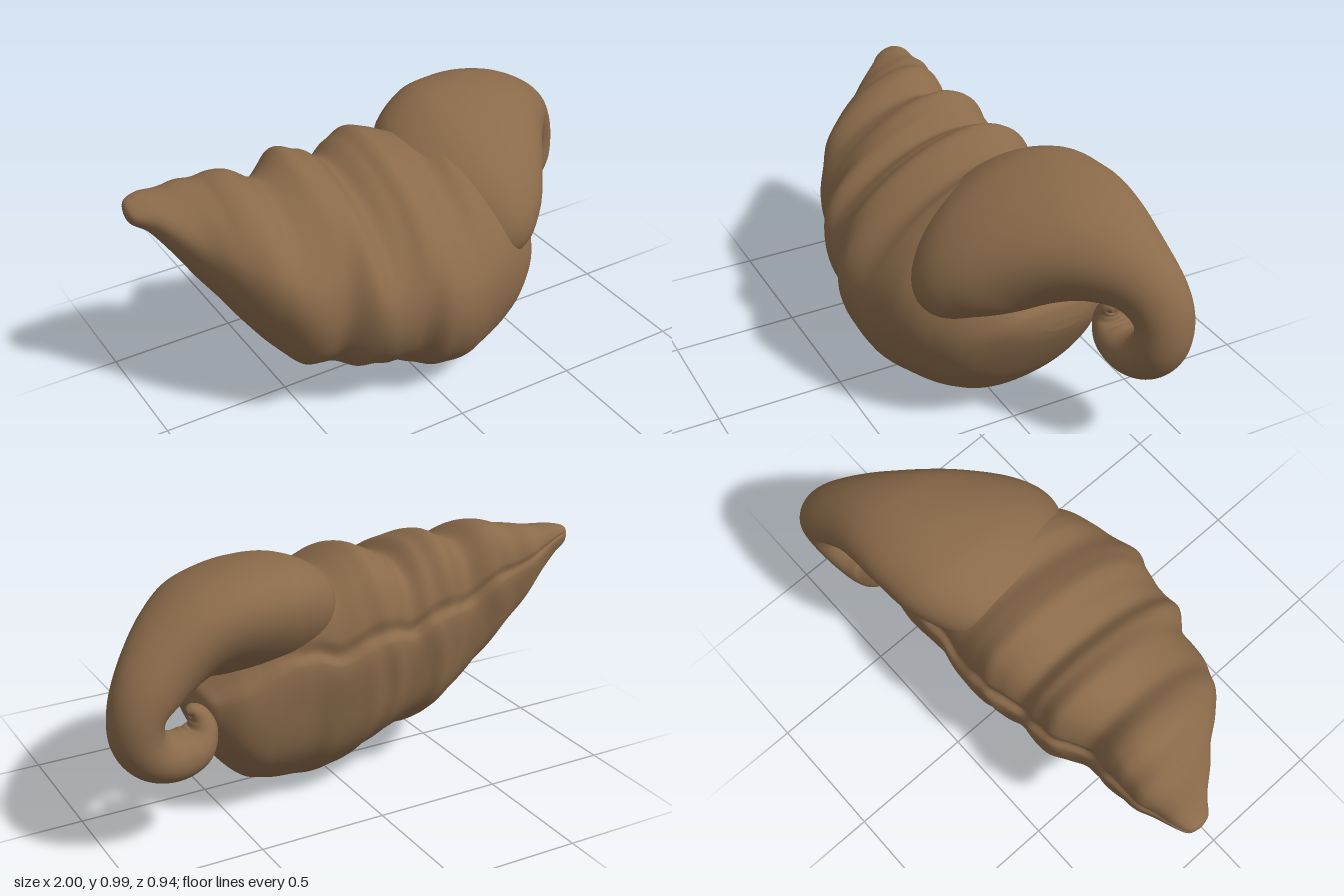
import * as THREE from 'three';

const { lerp, smoothstep, clamp } = THREE.MathUtils;

const shellBrown = new THREE.MeshStandardMaterial({ color: 0x8a6a4a });
shellBrown.name = 'shellBrown';

// Smooth interpolation through rows of numbers, t in 0..1
function sample(rows, t) {
  const f = t * (rows.length - 1);
  const i = Math.min(Math.floor(f), rows.length - 2);
  const s = f - i;
  const row = k => rows[clamp(k, 0, rows.length - 1)];
  return rows[i].map((p1, c) => {
    const p0 = row(i - 1)[c], p2 = row(i + 1)[c], p3 = row(i + 2)[c];
    return 0.5 * (2 * p1 + (p2 - p0) * s + (2 * p0 - 5 * p1 + 4 * p2 - p3) * s * s
      + (3 * p1 - p0 - 3 * p2 + p3) * s * s * s);
  });
}

// Skin a list of closed rings; both ends are closed to their centres
function loft(name, rings) {
  const n = rings[0].length;
  const positions = [], index = [];
  rings.forEach(ring => ring.forEach(p => positions.push(p.x, p.y, p.z)));
  for (let i = 0; i < rings.length - 1; i++) {
    for (let j = 0; j < n; j++) {
      const a = i * n + j, b = i * n + (j + 1) % n;
      index.push(a, b, a + n, b, b + n, a + n);
    }
  }
  const last = (rings.length - 1) * n;
  [rings[0], rings[rings.length - 1]].forEach((ring, end) => {
    const c = ring.reduce((sum, p) => sum.add(p), new THREE.Vector3()).divideScalar(n);
    const centre = positions.length / 3;
    positions.push(c.x, c.y, c.z);
    for (let j = 0; j < n; j++) {
      const k = (j + 1) % n;
      if (end === 0) index.push(centre, k, j);
      else index.push(centre, last + j, last + k);
    }
  });
  const geometry = new THREE.BufferGeometry();
  geometry.setAttribute('position', new THREE.Float32BufferAttribute(positions, 3));
  geometry.setIndex(index);
  geometry.computeVertexNormals();
  const mesh = new THREE.Mesh(geometry, shellBrown);
  mesh.name = name;
  return mesh;
}

// Whorled body: x, top y, bottom y, back z, front z
const bodyRows = [
  [-1.0, 0.87, 0.85, -0.20, -0.18],
  [-0.985, 0.895, 0.815, -0.24, -0.14],
  [-0.93, 0.91, 0.775, -0.265, -0.09],
  [-0.86, 0.91, 0.68, -0.28, 0.0],
  [-0.79, 0.92, 0.57, -0.30, 0.08],
  [-0.72, 0.925, 0.47, -0.30, 0.18],
  [-0.63, 0.945, 0.34, -0.30, 0.27],
  [-0.51, 0.89, 0.20, -0.285, 0.34],
  [-0.39, 0.945, 0.15, -0.355, 0.355],
  [-0.30, 0.925, 0.125, -0.36, 0.42],
  [-0.22, 0.87, 0.11, -0.355, 0.43],
  [-0.13, 0.92, 0.085, -0.385, 0.435],
  [-0.03, 0.94, 0.035, -0.40, 0.475],
  [0.10, 0.885, 0.00, -0.39, 0.46],
  [0.19, 0.92, 0.005, -0.375, 0.43],
  [0.27, 0.91, 0.02, -0.38, 0.40],
  [0.34, 0.78, 0.05, -0.38, 0.36],
  [0.41, 0.655, 0.09, -0.375, 0.31],
  [0.49, 0.595, 0.18, -0.36, 0.24],
  [0.555, 0.55, 0.29, -0.32, 0.14],
  [0.595, 0.52, 0.38, -0.28, 0.05],
  [0.61, 0.47, 0.43, -0.2, -0.06]
];

const closedCurve = points =>
  new THREE.CatmullRomCurve3(points.map(([u, v]) => new THREE.Vector3(u, v, 0)), true).getPoints(90).slice(0, 90);

// Sections as fraction from back to front and fraction of height.
// The narrow notch at the back makes the seam below the whorls.
const whorlSection = closedCurve([
  [0.27, 1], [0.56, 0.94], [0.83, 0.77], [0.97, 0.58], [0.99, 0.40], [0.91, 0.2],
  [0.73, 0.05], [0.52, 0], [0.28, 0.06], [0.09, 0.24], [0.02, 0.46],
  [0.0, 0.66], [0.035, 0.7], [0.03, 0.77], [0.1, 0.92]
]);
// Flat-topped cup around the root of the horn
const mouthSection = closedCurve([
  [0.3, 1], [0.6, 0.99], [0.86, 0.9], [0.98, 0.7], [1, 0.48], [0.91, 0.22],
  [0.73, 0.05], [0.52, 0], [0.28, 0.06], [0.1, 0.25], [0.02, 0.5],
  [0, 0.84], [0.03, 0.93], [0.08, 0.98], [0.16, 1]
]);

function makeBody() {
  const rings = [];
  for (let i = 0; i <= 180; i++) {
    const [x, top, bottom, back, front] = sample(bodyRows, i / 180);
    const mouth = smoothstep(x, 0.24, 0.44);
    // Faint growth ribs, fading out at the tip and the mouth
    const fade = smoothstep(x, -0.95, -0.7) * (1 - smoothstep(x, -0.1, 0.2));
    rings.push(whorlSection.map((p, j) => {
      const u = lerp(p.x, mouthSection[j].x, mouth);
      const v = lerp(p.y, mouthSection[j].y, mouth);
      const phase = x + 0.06 * Math.sin(v * 5);
      const rib = 1 + fade * (0.007 * Math.sin(phase * 37) + 0.005 * Math.sin(phase * 61 + v * 3));
      return new THREE.Vector3(
        x, lerp(bottom, top, 0.5 + (v - 0.5) * rib), lerp(back, front, 0.5 + (u - 0.5) * rib));
    }));
  }
  return loft('whorledBody', rings);
}

// Curled horn: x, y, z, radius in the curl plane, radius across it
const hornRows = [
  [0.06, 0.62, -0.02, 0.16, 0.20],
  [0.19, 0.67, -0.03, 0.25, 0.29],
  [0.33, 0.71, -0.045, 0.28, 0.34],
  [0.47, 0.745, -0.085, 0.25, 0.325],
  [0.61, 0.755, -0.155, 0.207, 0.275],
  [0.735, 0.725, -0.25, 0.163, 0.2],
  [0.84, 0.66, -0.33, 0.127, 0.138],
  [0.897, 0.575, -0.36, 0.102, 0.112],
  [0.898, 0.475, -0.357, 0.096, 0.107],
  [0.845, 0.4, -0.347, 0.094, 0.104],
  [0.76, 0.367, -0.335, 0.089, 0.1],
  [0.68, 0.385, -0.325, 0.081, 0.092],
  [0.64, 0.435, -0.315, 0.057, 0.07],
  [0.645, 0.482, -0.305, 0.04, 0.048],
  [0.668, 0.506, -0.3, 0.027, 0.033],
  [0.69, 0.505, -0.3, 0.012, 0.014]
];

function makeHorn() {
  const rings = [];
  for (let i = 0; i <= 140; i++) {
    const t = i / 140;
    const [x, y, z, r, across] = sample(hornRows, t);
    const [x0, y0] = sample(hornRows, Math.max(0, t - 0.01));
    const [x1, y1] = sample(hornRows, Math.min(1, t + 0.01));
    const along = new THREE.Vector2(x1 - x0, y1 - y0).normalize();
    // The thick root leans backwards
    const lean = 0.6 * smoothstep(r, 0.12, 0.25);
    const ring = [];
    for (let j = 0; j < 56; j++) {
      const a = j / 56 * Math.PI * 2;
      const up = r * Math.cos(a);
      ring.push(new THREE.Vector3(
        x - along.y * up, y + along.x * up, z + across * Math.sin(a) - lean * up));
    }
    rings.push(ring);
  }
  return loft('curledHorn', rings);
}

export function createModel() {
  const model = new THREE.Group();
  model.name = 'curledShell';
  model.add(makeBody(), makeHorn());
  return model;
}
